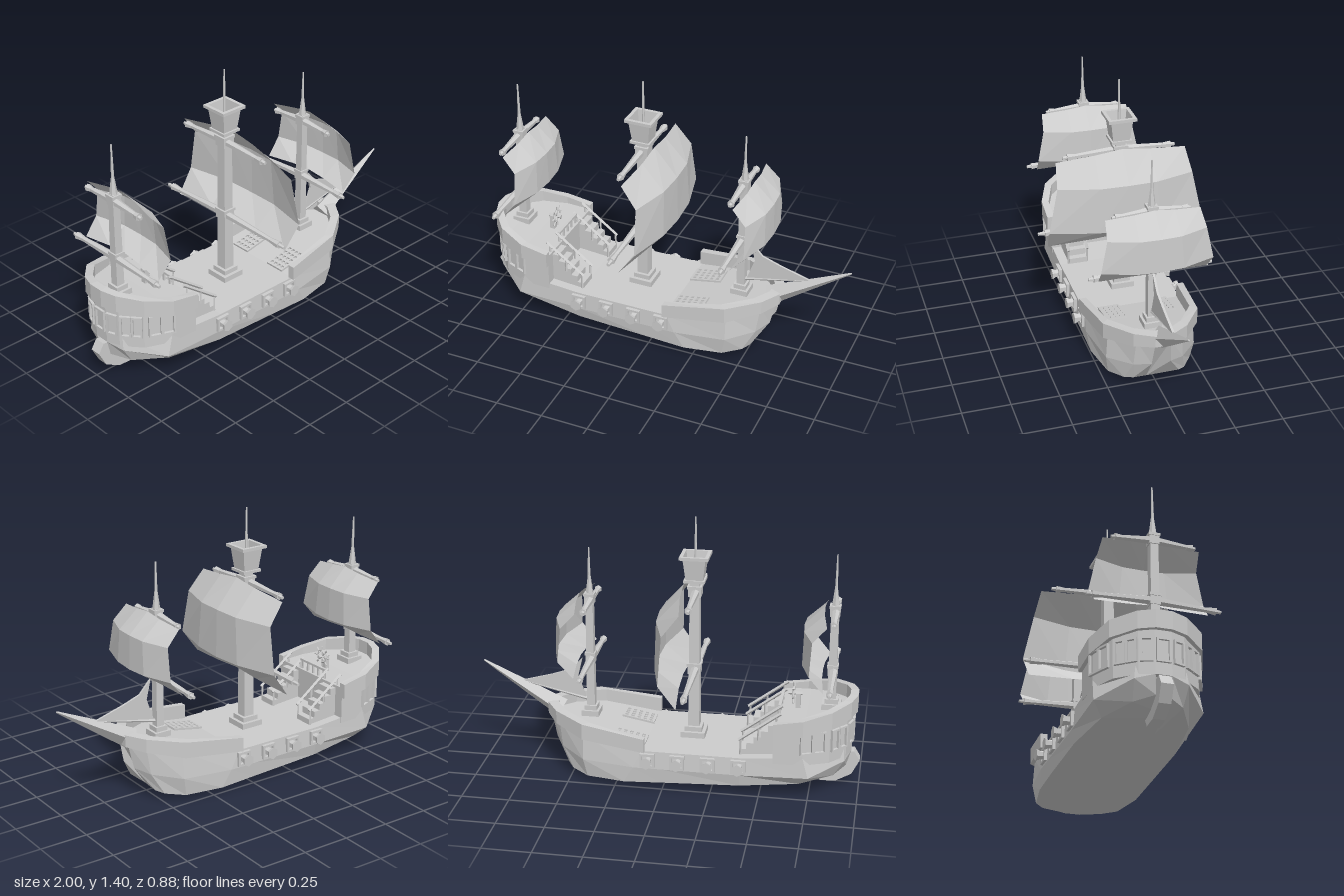
import * as THREE from 'three';

const mat = new THREE.MeshStandardMaterial({ color: 0xcccccc, flatShading: true });
const thin = new THREE.MeshStandardMaterial({ color: 0xcccccc, flatShading: true, side: THREE.DoubleSide });
const V = (x, y, z) => new THREE.Vector3(x, y, z);

function add(parent, name, geo, x = 0, y = 0, z = 0, material = mat) {
  const m = new THREE.Mesh(geo, material);
  m.name = name;
  m.position.set(x, y, z);
  parent.add(m);
  return m;
}
const box = (g, name, w, h, d, x, y, z) => add(g, name, new THREE.BoxGeometry(w, h, d), x, y, z);

// Tapered spar between two points
function spar(g, name, a, b, ra, rb, sides = 6) {
  const d = b.clone().sub(a);
  const m = add(g, name, new THREE.CylinderGeometry(rb, ra, d.length(), sides));
  m.position.copy(a).addScaledVector(d, 0.5);
  m.quaternion.setFromUnitVectors(V(0, 1, 0), d.normalize());
  return m;
}

// Closed solid through a row of rings
function loft(rings) {
  const pos = [], tri = (...p) => p.forEach(v => pos.push(v.x, v.y, v.z));
  const n = rings[0].length;
  for (let i = 0; i < rings.length - 1; i++) for (let j = 0; j < n; j++) {
    const a = rings[i], b = rings[i + 1], k = (j + 1) % n;
    tri(a[j], b[j], a[k]);
    tri(a[k], b[j], b[k]);
  }
  const s = rings[0], e = rings[rings.length - 1];
  for (let k = 1; k < n - 1; k++) { tri(s[0], s[k], s[k + 1]); tri(e[0], e[k + 1], e[k]); }
  const geo = new THREE.BufferGeometry();
  geo.setAttribute('position', new THREE.Float32BufferAttribute(pos, 3));
  geo.computeVertexNormals();
  return geo;
}
// Half section (bottom to top on +z) mirrored into a full ring
const mirrorRing = half => [...half, ...half.map(p => V(p.x, p.y, -p.z)).reverse()];

// Bulwark wrapped round one end; rows are [x, z, yBottom, yTop], inner edge shrinks towards cx
function bulwark(rows, cx, side) {
  const path = [...rows.map(r => [r, side]), ...rows.map(r => [r, -side]).reverse()];
  return loft(path.map(([[x, z, lo, hi], s]) => {
    const xi = cx + (x - cx) * 0.9, zi = z * s * 0.87;
    return [V(x, lo, z * s), V(x, hi, z * s), V(xi, hi, zi), V(xi, lo, zi)];
  }));
}

// Square frame with an opening, facing +z
function frameGeo(w, h, t, d) {
  const s = new THREE.Shape([[-w, -h], [w, -h], [w, h], [-w, h]].map(p => new THREE.Vector2(p[0] / 2, p[1] / 2)));
  const a = w / 2 - t, b = h / 2 - t;
  s.holes.push(new THREE.Path([[-a, -b], [-a, b], [a, b], [a, -b]].map(p => new THREE.Vector2(...p))));
  return new THREE.ExtrudeGeometry(s, { depth: d, bevelEnabled: false });
}

// Billowed sail: four rows of [centre x, edge x, centre y, edge y, half width]
function sail(g, name, x, yTop, s, sx) {
  const rows = [[0.06, 0.03, 0, -0.045, 0.345], [0.185, 0.115, -0.15, -0.155, 0.36],
    [0.19, 0.125, -0.405, -0.395, 0.41], [0.06, 0.035, -0.49, -0.52, 0.4]];
  const cols = [-1, -0.42, 0, 0.42, 1], bulge = [0, 0.88, 1, 0.88, 0];
  const geo = new THREE.PlaneGeometry(1, 1, 4, 3), p = geo.attributes.position;
  rows.forEach(([xc, xe, yc, ye, w], r) => cols.forEach((t, c) => p.setXYZ(r * 5 + c,
    x + sx * (xe + (xc - xe) * bulge[c]), yTop + s * (yc + (ye - yc) * Math.abs(t)), -t * w * s)));
  geo.computeVertexNormals();
  add(g, name, geo, 0, 0, 0, thin);
}

// Mast with foot, clamps, yards and spire
function mast(root, name, x, base, top, tip, r, yards) {
  const g = new THREE.Group();
  g.name = name;
  root.add(g);
  box(g, 'mastFoot', r * 4.2, 0.03, r * 4.2, x, base + 0.015, 0);
  box(g, 'mastFootTier', r * 3, 0.03, r * 3, x, base + 0.04, 0);
  add(g, 'mastPole', new THREE.CylinderGeometry(r * 1.2, r * 1.4, top - base, 4).rotateY(Math.PI / 4), x, (top + base) / 2, 0);
  spar(g, 'spireBase', V(x, top - 0.01, 0), V(x, top + 0.09, 0), r * 0.95, 0.008);
  spar(g, 'spire', V(x, top, 0), V(x, tip, 0), 0.01, 0.004);
  for (const [y, len] of yards) {
    box(g, 'clamp', r * 2.2, 0.05, r * 2.2, x, y, 0);
    box(g, 'clampBand', r * 2.5, 0.014, r * 2.5, x, y + 0.025, 0);
    for (const s of [1, -1]) {
      const at = t => V(x - 0.005, y - 0.012 * t, s * len * t);
      spar(g, 'yard', at(0), at(0.88), 0.022, 0.012);
      spar(g, 'yardCollar', at(0.78), at(0.92), 0.014, 0.02);
      spar(g, 'yardTip', at(0.92), at(1), 0.012, 0.009);
    }
  }
  return g;
}

export function createModel() {
  const ship = new THREE.Group();
  ship.name = 'sailingShip';

  // Hull: keel, chine, wale and deck lines from stern to bow
  const lines = [
    [[-.86, .065, .01], [-.8, .05, .04], [-.65, .04, .06], [-.4, .03, .06], [0, .01, .06], [.2, 0, .06], [.36, 0, .06], [.46, .015, .05], [.48, .02, .04]],
    [[-.93, .11, .03], [-.87, .09, .12], [-.7, .07, .21], [-.4, .055, .25], [0, .04, .255], [.2, .03, .255], [.4, .03, .22], [.49, .04, .16], [.52, .05, .12]],
    [[-.955, .2, .04], [-.925, .18, .13], [-.75, .13, .265], [-.4, .12, .265], [0, .12, .265], [.15, .12, .265], [.42, .13, .235], [.55, .15, .13], [.6, .17, .05]],
    [[-.95, .26, .04], [-.92, .255, .12], [-.72, .24, .26], [-.4, .215, .26], [0, .215, .26], [.1, .215, .26], [.42, .275, .225], [.57, .3, .12], [.63, .31, .04]],
  ];
  add(ship, 'hull', loft(lines[0].map((_, i) => mirrorRing(lines.map(l => V(...l[i]))))));

  // Raised stern cabin with its bulwark
  const wall = [[-.955, .04, .445], [-.93, .11, .44], [-.85, .205, .425], [-.72, .26, .41], [-.57, .265, .4]];
  add(ship, 'sternCabin', loft(wall.map(([x, z, y]) => mirrorRing([V(x, .2, z), V(x, y, z)]))));
  add(ship, 'sternBulwark', bulwark([[-.57, .285, .345, .425], [-.72, .28, .365, .45], [-.86, .225, .395, .485],
    [-.95, .12, .415, .505], [-.978, .04, .42, .512]], -.57, -1));
  add(ship, 'bowBulwark', bulwark([[.09, .285, .215, .29], [.42, .25, .25, .335], [.58, .14, .28, .352], [.645, .045, .295, .358]], .09, 1));

  // Cabin windows on each wall panel
  const panes = [[3, 2, .13, .07], [3, 2, .6, .07], [2, 1, .28, .055], [2, 1, .74, .055], [1, 0, .5, .06]];
  for (const s of [1, -1]) for (const [i, j, t, w] of panes) {
    const [ax, az] = wall[i], [bx, bz] = wall[j];
    const m = add(ship, 'cabinWindow', frameGeo(w, .12, .01, .014), ax + (bx - ax) * t, .32, s * (az + (bz - az) * t));
    m.rotation.y = Math.atan2(-(az - bz), s * (ax - bx));
  }
  add(ship, 'sternWindow', frameGeo(.07, .12, .01, .014), -.953, .32, 0).rotation.y = -Math.PI / 2;

  // Rudder
  const rud = new THREE.Shape([[-.97, .19], [-1, .14], [-.96, .06], [-.88, .015], [-.8, .01], [-.77, .06], [-.9, .18]].map(p => new THREE.Vector2(...p)));
  add(ship, 'rudder', new THREE.ExtrudeGeometry(rud, { depth: .06, bevelEnabled: false }), 0, 0, -.03);

  for (const s of [1, -1]) {
    // Gun ports and cannons
    for (const x of [-.395, -.237, -.08, .075]) {
      const port = add(ship, 'gunPort', frameGeo(.076, .076, .012, .02), x, .167, s * .258);
      if (s < 0) port.rotation.y = Math.PI;
      spar(ship, 'cannonBarrel', V(x, .167, s * .23), V(x, .167, s * .3), .024, .022);
      spar(ship, 'cannonMuzzle', V(x, .167, s * .295), V(x, .167, s * .312), .026, .032);
    }
    // Stairs with handrails
    for (let i = 0; i < 5; i++) {
      const h = .035 * (5 - i);
      box(ship, 'stairStep', .036, h, .1, -.555 + i * .036, .21 + h / 2, s * .16);
    }
    for (const z of [.108, .212]) {
      for (const t of [0, .5, 1]) spar(ship, 'stairPost', V(-.58 + .18 * t, .385 - .17 * t, s * z), V(-.58 + .18 * t, .445 - .14 * t, s * z), .006, .006, 4);
      spar(ship, 'stairRail', V(-.6, .455, s * z), V(-.39, .297, s * z), .009, .009, 4);
    }
    // Deck gratings
    const plate = new THREE.Shape([[-.088, -.055], [.088, -.055], [.088, .055], [-.088, .055]].map(p => new THREE.Vector2(...p)));
    for (let i = 0; i < 5; i++) for (let j = 0; j < 4; j++) {
      const x = (i - 2) * .033, y = (j - 1.5) * .025, r = .0085;
      plate.holes.push(new THREE.Path([[x - r, y - r], [x - r, y + r], [x + r, y + r], [x + r, y - r]].map(p => new THREE.Vector2(...p))));
    }
    const grate = add(ship, 'deckGrating', new THREE.ExtrudeGeometry(plate, { depth: .012, bevelEnabled: false }).rotateX(-Math.PI / 2), .187, .23, s * .132);
    grate.rotation.z = Math.atan2(.06, .32);
  }

  // Balustrade between the stairs
  box(ship, 'balustradeRail', .015, .012, .21, -.585, .45, 0);
  for (let i = -2; i <= 2; i++) box(ship, 'balustradePost', .01, .055, .01, -.585, .42, i * .045);

  // Steering wheel
  box(ship, 'wheelStand', .025, .09, .03, -.67, .44, 0);
  spar(ship, 'wheelAxle', V(-.69, .485, 0), V(-.62, .485, 0), .01, .01);
  add(ship, 'wheelRim', new THREE.TorusGeometry(.035, .006, 4, 8).rotateY(Math.PI / 2), -.645, .485, 0);
  for (let i = 0; i < 4; i++) {
    const a = i * Math.PI / 4, y = Math.cos(a) * .058, z = Math.sin(a) * .058;
    spar(ship, 'wheelSpoke', V(-.645, .485 - y, -z), V(-.645, .485 + y, z), .005, .005, 4);
  }

  // Masts and sails
  mast(ship, 'mizzenMast', -.84, .42, .98, 1.24, .023, [[.945, .21], [.625, .33]]);
  const main = mast(ship, 'mainMast', -.13, .215, 1.07, 1.4, .03, [[1.01, .3], [.59, .44]]);
  mast(ship, 'foreMast', .42, .29, .97, 1.21, .022, [[.935, .2], [.61, .32]]);
  sail(ship, 'mizzenSail', -.84, .97, .7, .82);
  sail(ship, 'mainSail', -.13, 1.04, 1, 1);
  sail(ship, 'foreSail', .42, .965, .7, .86);

  // Lookout basket
  box(main, 'basketFloor', .108, .014, .108, -.13, 1.072, 0);
  const basket = [[.044, 1.075], [.058, 1.19], [.074, 1.19], [.074, 1.206], [.056, 1.206], [.04, 1.085]];
  add(main, 'basket', new THREE.LatheGeometry(basket.map(([w, y]) => new THREE.Vector2(w * Math.SQRT2, y)), 4, Math.PI / 4), -.13, 0, 0, thin);

  // Bowsprit and jib
  spar(ship, 'bowsprit', V(.58, .31, 0), V(1, .555, 0), .056, .005, 4);
  const jib = new THREE.Shape([[.45, .385], [.79, .455], [.63, .5], [.53, .535], [.465, .605], [.49, .5]].map(p => new THREE.Vector2(...p)));
  add(ship, 'jib', new THREE.ExtrudeGeometry(jib, { depth: .012, bevelEnabled: false }), 0, 0, -.006);
  spar(ship, 'jibBoom', V(.42, .37, 0), V(.79, .453, 0), .01, .005);

  return ship;
}
